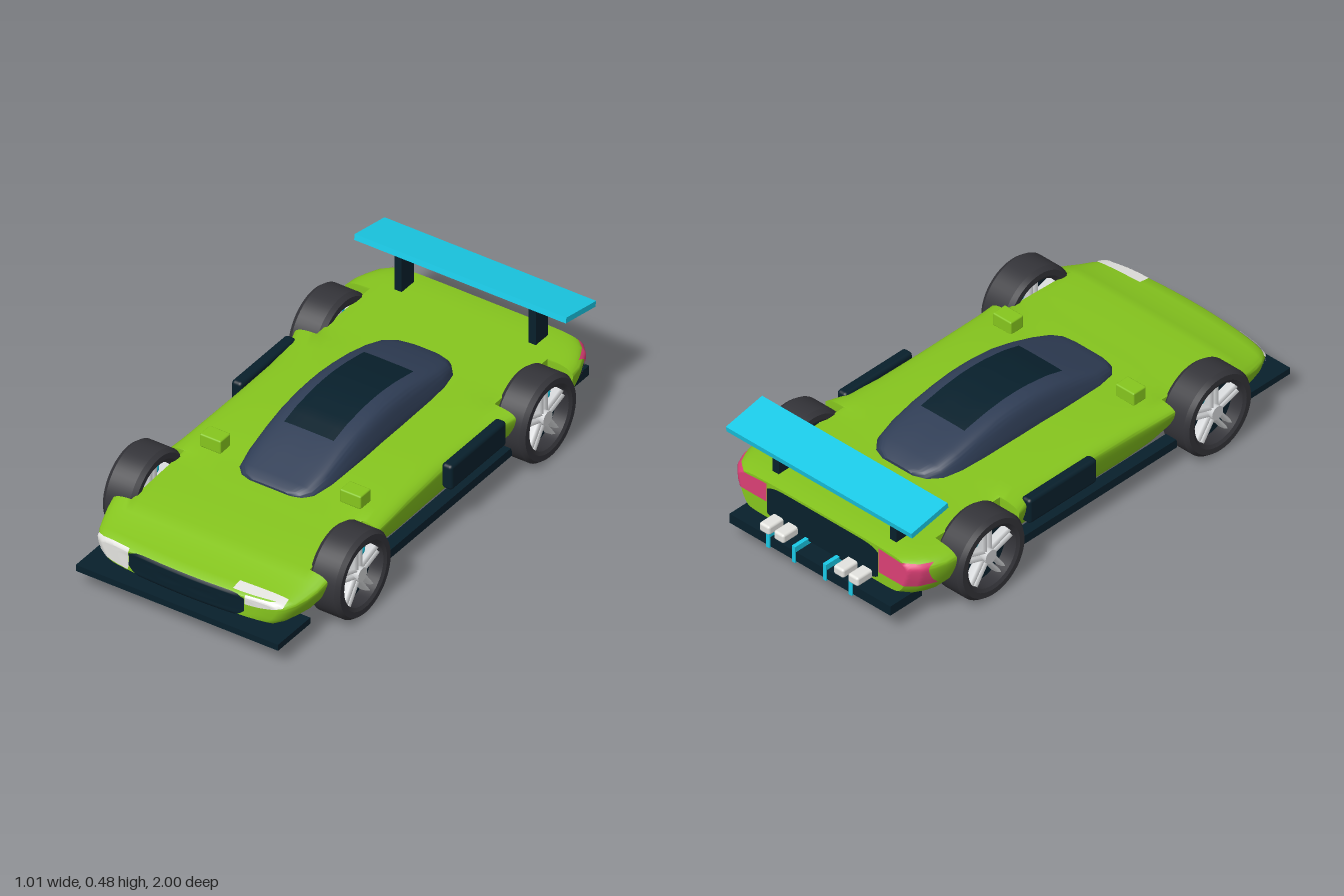
import * as THREE from 'three';
import { toCreasedNormals } from 'three/addons/utils/BufferGeometryUtils.js';
import { RoundedBoxGeometry } from 'three/addons/geometries/RoundedBoxGeometry.js';

const paint = (name, color) => {
  const m = new THREE.MeshStandardMaterial({ color });
  m.name = name;
  return m;
};

export function createModel() {
  const car = new THREE.Group();
  car.name = 'racingCar';
  const green = paint('bodyGreen', 0x86c61e), dark = paint('carbonDark', 0x08202c);
  const glass = paint('canopyBlue', 0x2f3d55), cyan = paint('accentCyan', 0x1acbe8);
  const rubber = paint('tyreGrey', 0x343439), silver = paint('rimSilver', 0xd0d2d4);
  const white = paint('lampWhite', 0xe4e4e0), pink = paint('tailPink', 0xdc4076);

  const add = (name, geo, mat, x = 0, y = 0, z = 0, parent = car) => {
    const m = new THREE.Mesh(geo, mat);
    m.name = name;
    m.position.set(x, y, z);
    parent.add(m);
    return m;
  };
  const box = (name, mat, w, h, d, x, y, z) => add(name, new THREE.BoxGeometry(w, h, d), mat, x, y, z);

  // Lofts a mirrored half profile through stations [z, halfWidth, top, bottom, limit], front to back
  function loft(profile, stations, shape = (p) => p) {
    const half = new THREE.SplineCurve(profile.map((p) => new THREE.Vector2(...p))).getPoints(36);
    const ring = half.concat(half.slice(0, -1).reverse().map((p) => new THREE.Vector2(-p.x, p.y)));
    const cap = ([z, w, t, b], s) => {
      const m = (t + b) / 2, h = ((t - b) / 2) * s;
      return [z, w * s, m + h, m - h];
    };
    const a = stations[0], e = stations[stations.length - 1];
    const all = [cap(a, 0.001), cap(a, 0.4), cap(a, 0.8), ...stations, cap(e, 0.8), cap(e, 0.4), cap(e, 0.001)];
    const pos = [], idx = [], n = ring.length;
    all.forEach(([z, w, t, b, limit = 1], i) => {
      for (const p of ring) {
        const v = shape(new THREE.Vector3(
          THREE.MathUtils.clamp(p.x * w, -limit, limit), b + p.y * (t - b), z));
        pos.push(v.x, v.y, v.z);
      }
      if (i === 0) return;
      for (let j = 0; j < n - 1; j++) {
        const q = (i - 1) * n + j, r = q + n;
        idx.push(q, q + 1, r, q + 1, r + 1, r);
      }
    });
    const g = new THREE.BufferGeometry();
    g.setAttribute('position', new THREE.Float32BufferAttribute(pos, 3));
    g.setIndex(idx);
    return toCreasedNormals(g, 0.75);
  }

  // Body shell, narrowed to a fixed limit inside the wheel bays
  const bay = 0.378;
  const body = add('bodyShell', loft(
    [[0, 1], [0.45, 1], [0.78, 0.985], [0.92, 0.94], [0.985, 0.85], [1, 0.74], [0.975, 0.45], [0.92, 0.14], [0.82, 0], [0.4, 0], [0, 0]],
    [
      [0.95, 0.37, 0.194, 0.112], [0.94, 0.395, 0.202, 0.105], [0.9, 0.418, 0.208, 0.1],
      [0.84, 0.435, 0.217, 0.1], [0.78, 0.448, 0.232, 0.1], [0.731, 0.456, 0.247, 0.11],
      [0.73, 0.456, 0.247, 0.11, bay], [0.65, 0.454, 0.252, 0.145, bay], [0.57, 0.45, 0.256, 0.155, bay],
      [0.48, 0.447, 0.26, 0.145, bay], [0.401, 0.445, 0.265, 0.13, bay], [0.4, 0.445, 0.265, 0.145],
      [0.32, 0.44, 0.272, 0.115], [0.2, 0.435, 0.28, 0.103], [0, 0.43, 0.286, 0.1], [-0.2, 0.432, 0.287, 0.103],
      [-0.34, 0.445, 0.287, 0.118], [-0.419, 0.47, 0.286, 0.145], [-0.42, 0.47, 0.286, 0.13, bay],
      [-0.5, 0.48, 0.286, 0.145, bay], [-0.58, 0.485, 0.286, 0.155, bay], [-0.66, 0.485, 0.287, 0.145, bay],
      [-0.75, 0.485, 0.288, 0.12, bay], [-0.751, 0.485, 0.288, 0.12],
      [-0.8, 0.48, 0.289, 0.115], [-0.84, 0.466, 0.289, 0.115], [-0.885, 0.445, 0.288, 0.12], [-0.922, 0.41, 0.284, 0.13],
    ],
    (v) => {
      v.z -= 0.2 * v.x * v.x * THREE.MathUtils.smoothstep(v.z, 0.75, 0.95);
      return v;
    }), green);

  // Canopy
  const canopy = add('canopy', loft(
    [[0, 1], [0.45, 0.995], [0.75, 0.95], [0.89, 0.8], [0.97, 0.5], [1, 0.25], [0.97, 0.08], [0.85, 0], [0, 0]],
    [
      [0.424, 0.09, 0.272, 0.253], [0.412, 0.13, 0.28, 0.252], [0.38, 0.16, 0.292, 0.251], [0.3, 0.178, 0.322, 0.25],
      [0.2, 0.184, 0.358, 0.25], [0.1, 0.187, 0.386, 0.25], [0, 0.187, 0.4, 0.25], [-0.06, 0.187, 0.403, 0.25],
      [-0.12, 0.187, 0.402, 0.25], [-0.2, 0.186, 0.394, 0.25], [-0.3, 0.185, 0.376, 0.25], [-0.4, 0.18, 0.35, 0.25],
      [-0.48, 0.165, 0.326, 0.25], [-0.525, 0.13, 0.308, 0.25], [-0.545, 0.08, 0.297, 0.25],
    ]), glass);

  // Thin skin laid on a target surface, cast along one axis
  const ray = new THREE.Raycaster();
  const sides = {
    front: (u, v) => [new THREE.Vector3(u, v, 2), new THREE.Vector3(0, 0, -1)],
    back: (u, v) => [new THREE.Vector3(u, v, -2), new THREE.Vector3(0, 0, 1)],
    top: (u, v) => [new THREE.Vector3(u, 2, v), new THREE.Vector3(0, -1, 0)],
  };
  function skin(name, target, mat, side, u0, u1, lo, hi) {
    const g = new THREE.PlaneGeometry(1, 1, 36, 20), p = g.attributes.position;
    const lift = new THREE.Vector3();
    let depth = 1.1;
    for (let i = 0; i < p.count; i++) {
      const t = p.getX(i) + 0.5, u = u0 + (u1 - u0) * t;
      const v = lo(t) + (hi(t) - lo(t)) * (p.getY(i) + 0.5);
      const [from, dir] = sides[side](u, v);
      ray.set(from, dir);
      const hit = ray.intersectObject(target)[0];
      if (hit) {
        depth = hit.distance;
        lift.copy(hit.face.normal).multiplyScalar(0.004);
      }
      from.addScaledVector(dir, depth).add(lift);
      p.setXYZ(i, from.x, from.y, from.z);
    }
    g.computeVertexNormals();
    return add(name, g, mat);
  }
  const rounded = (t) => Math.pow(Math.abs(2 * t - 1), 10);

  // Painted nose, roof and tail
  skin('noseGrille', body, dark, 'front', -0.245, 0.245, (t) => 0.106 + 0.03 * rounded(t), (t) => 0.198 - 0.01 * rounded(t));
  skin('rightHeadlight', body, white, 'front', -0.398, -0.247, (t) => 0.118 + 0.03 * (1 - t) ** 3, (t) => 0.2 - 0.012 * (1 - t) ** 4);
  skin('leftHeadlight', body, white, 'front', 0.247, 0.39, (t) => 0.165 + 0.02 * t * t, () => 0.198);
  skin('leftHeadlightTop', body, white, 'top', 0.19, 0.39, (t) => 0.93 - 0.03 * t * t, (t) => 0.885 - 0.01 * t);
  skin('roofPanel', canopy, dark, 'top', -0.105, 0.105, () => 0.18, () => -0.315);
  skin('tailPanel', body, dark, 'back', 0.27, -0.27, (t) => 0.134 + 0.02 * rounded(t), (t) => 0.278 - 0.02 * rounded(t));
  skin('rightTailLight', body, pink, 'back', -0.272, -0.455, () => 0.175, (t) => 0.279 - 0.012 * t);
  skin('leftTailLight', body, pink, 'back', 0.46, 0.272, () => 0.2, (t) => 0.268 + 0.011 * t);

  // Floor, splitter and diffuser
  box('floor', dark, 0.56, 0.08, 1.66, 0, 0.12, -0.01);
  box('frontSplitter', dark, 0.86, 0.026, 0.2, 0, 0.085, 0.9);
  box('rearDiffuser', dark, 0.78, 0.04, 0.16, 0, 0.1, -0.91);

  // Rear wing
  box('wingBlade', cyan, 0.9, 0.023, 0.188, 0, 0.454, -0.852).rotation.x = -0.19;

  // Tyre cross-section swept around the axle, with chamfered shoulders
  const tyreGeo = toCreasedNormals(new THREE.LatheGeometry(
    [[0.122, -0.06], [0.135, -0.067], [0.157, -0.067], [0.17, -0.05], [0.17, 0.05], [0.157, 0.067],
      [0.135, 0.067], [0.122, 0.06], [0.122, -0.06]].map((p) => new THREE.Vector2(...p)), 48), 0.4).rotateZ(-Math.PI / 2);
  const discGeo = new THREE.CylinderGeometry(0.123, 0.123, 0.012, 32).rotateZ(Math.PI / 2);
  const hubGeo = new THREE.CylinderGeometry(0.028, 0.028, 0.11, 20).rotateZ(Math.PI / 2);
  const spokeGeo = new THREE.CylinderGeometry(0.01, 0.01, 0.105, 8).scale(4.6, 1, 1);
  const caliperGeo = new THREE.SphereGeometry(0.03, 16, 12).scale(0.9, 1, 1);

  for (const s of [1, -1]) {
    const side = s > 0 ? 'left' : 'right';
    for (const [end, z] of [['Front', 0.566], ['Rear', -0.585]]) {
      const wheel = new THREE.Group();
      wheel.name = side + end + 'Wheel';
      wheel.position.set(s * 0.4375, 0.17, z);
      car.add(wheel);
      add('tyre', tyreGeo, rubber, 0, 0, 0, wheel);
      add('brakeDisc', discGeo, dark, 0, 0, 0, wheel);
      add('hub', hubGeo, silver, 0, 0, 0, wheel);
      add('caliper', caliperGeo, cyan, 0, 0.063, -0.046, wheel);
      // Five pairs of spokes
      for (let i = 0; i < 5; i++) {
        const pair = new THREE.Group();
        pair.name = 'spokePair';
        pair.rotation.x = (i * Math.PI * 2) / 5;
        wheel.add(pair);
        for (const k of [-1, 1]) add('spoke', spokeGeo, silver, 0, 0.07, k * 0.013, pair);
      }
    }

    // Flank parts
    box(side + 'SideSkirt', dark, 0.05, 0.035, 0.84, s * 0.42, 0.099, -0.01);
    add(side + 'SidePod', new RoundedBoxGeometry(0.045, 0.105, 0.345, 3, 0.014), dark, s * 0.447, 0.228, -0.192);
    add(side + 'Mirror', new RoundedBoxGeometry(0.09, 0.055, 0.065, 2, 0.006), green, s * 0.298, 0.296, 0.328);
    box(side + 'WingStrut', dark, 0.03, 0.19, 0.075, s * 0.285, 0.355, -0.828);

    // Exhausts and diffuser fins
    for (const x of [0.145, 0.215])
      add(side + 'Exhaust', new RoundedBoxGeometry(0.05, 0.038, 0.125, 3, 0.01), white, s * x, 0.148, -0.9365);
    for (const x of [0.075, 0.2]) box(side + 'DiffuserFin', cyan, 0.016, 0.07, 0.08, s * x, 0.109, -0.955);
  }
  return car;
}
